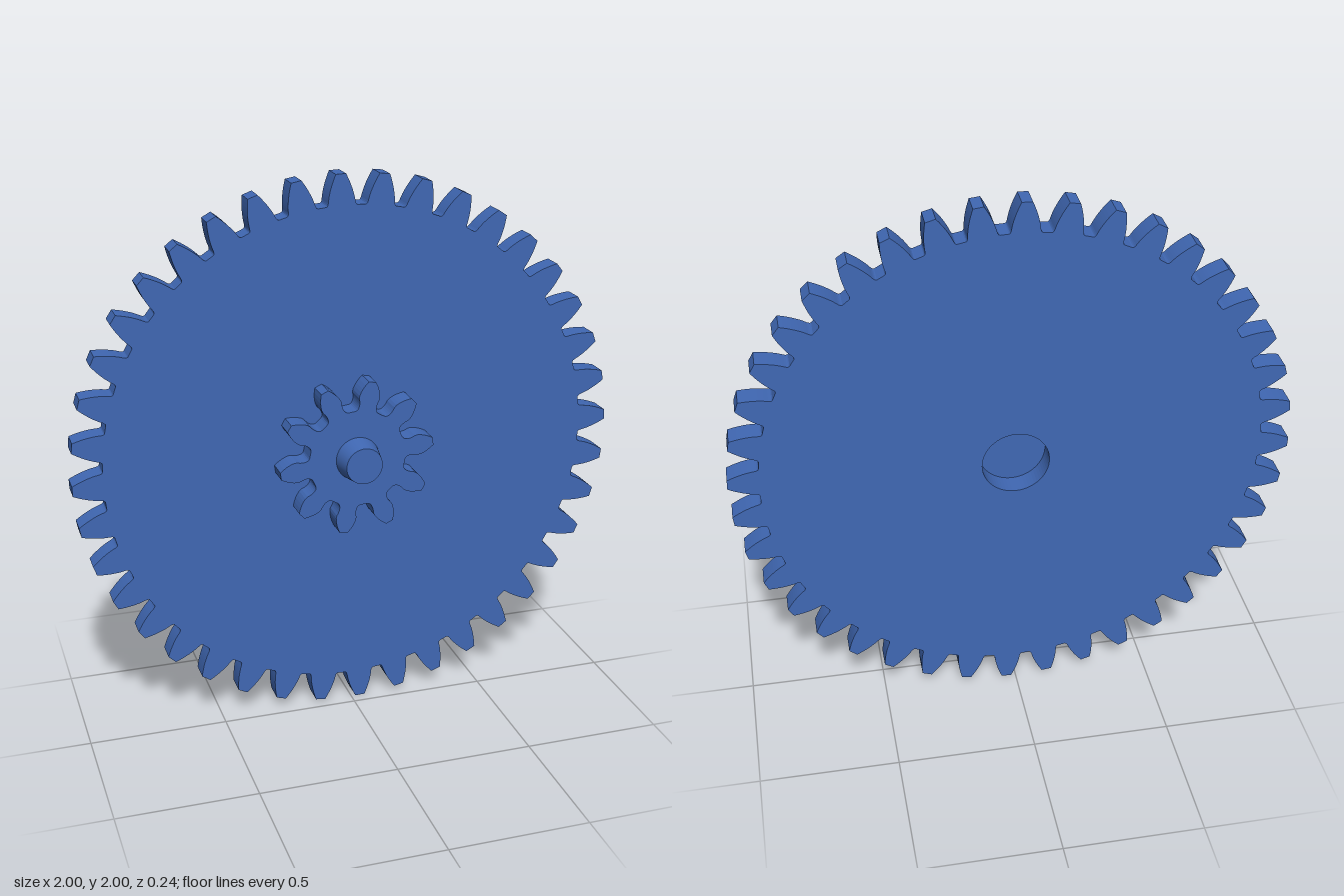
import * as THREE from 'three';

const MODULE = 2 / 42; // tooth size shared by both gears
const THICK = 0.08;
const material = new THREE.MeshStandardMaterial({ color: 0x4068b4 });

// Half-angle of the gap between teeth at radius r, as cut by a rolling 20-degree rack
function gapAngle(r, pitch, root) {
  const limit = Math.acos(Math.min(1, root / r));
  let widest = -Infinity;
  for (let i = 0; i <= 200; i++) {
    const psi = limit * (i / 100 - 1);
    const depth = pitch - r * Math.cos(psi);
    const halfWidth = Math.PI * MODULE / 4 - depth * Math.tan(Math.PI / 9);
    widest = Math.max(widest, psi + (halfWidth - r * Math.sin(psi)) / pitch);
  }
  return widest;
}

// Outline of a gear with one tooth centred at the angle `turn`
function gearShape(teeth, turn) {
  const pitch = MODULE * teeth / 2;
  const root = pitch - 1.25 * MODULE;
  const tip = pitch + MODULE;
  const flank = [];
  for (let i = 0; i <= 12; i++) {
    const r = root + (tip - root) * (i / 12) ** 1.6;
    flank.push([r, Math.PI / teeth - gapAngle(r, pitch, root)]);
  }
  const points = [];
  const add = (r, a) => points.push(new THREE.Vector2(r * Math.cos(a), r * Math.sin(a)));
  for (let t = 0; t < teeth; t++) {
    const centre = turn + t * 2 * Math.PI / teeth;
    flank.forEach(([r, a]) => add(r, centre - a));
    [...flank].reverse().forEach(([r, a]) => add(r, centre + a));
  }
  return new THREE.Shape(points);
}

function addGear(group, name, shape, z) {
  const geometry = new THREE.ExtrudeGeometry(shape, { depth: THICK, bevelEnabled: false, curveSegments: 32 });
  const mesh = new THREE.Mesh(geometry, material);
  mesh.name = name;
  mesh.position.set(0, 1, z);
  group.add(mesh);
}

export function createModel() {
  const group = new THREE.Group();
  group.name = 'compoundGear';

  // Large wheel with a round socket in its back
  const wheel = gearShape(40, THREE.MathUtils.degToRad(2));
  wheel.holes.push(new THREE.Path().absarc(0, 0, 0.12, 0, 2 * Math.PI, true));
  addGear(group, 'largeGear', wheel, -0.12);

  // Pinion, whose back closes the socket
  addGear(group, 'pinion', gearShape(10, THREE.MathUtils.degToRad(7)), -0.04);

  // Tapered pin on the front
  const pin = new THREE.Mesh(new THREE.CylinderGeometry(0.066, 0.08, THICK, 48), material);
  pin.name = 'pin';
  pin.rotation.x = Math.PI / 2;
  pin.position.set(0, 1, 0.08);
  group.add(pin);

  return group;
}
